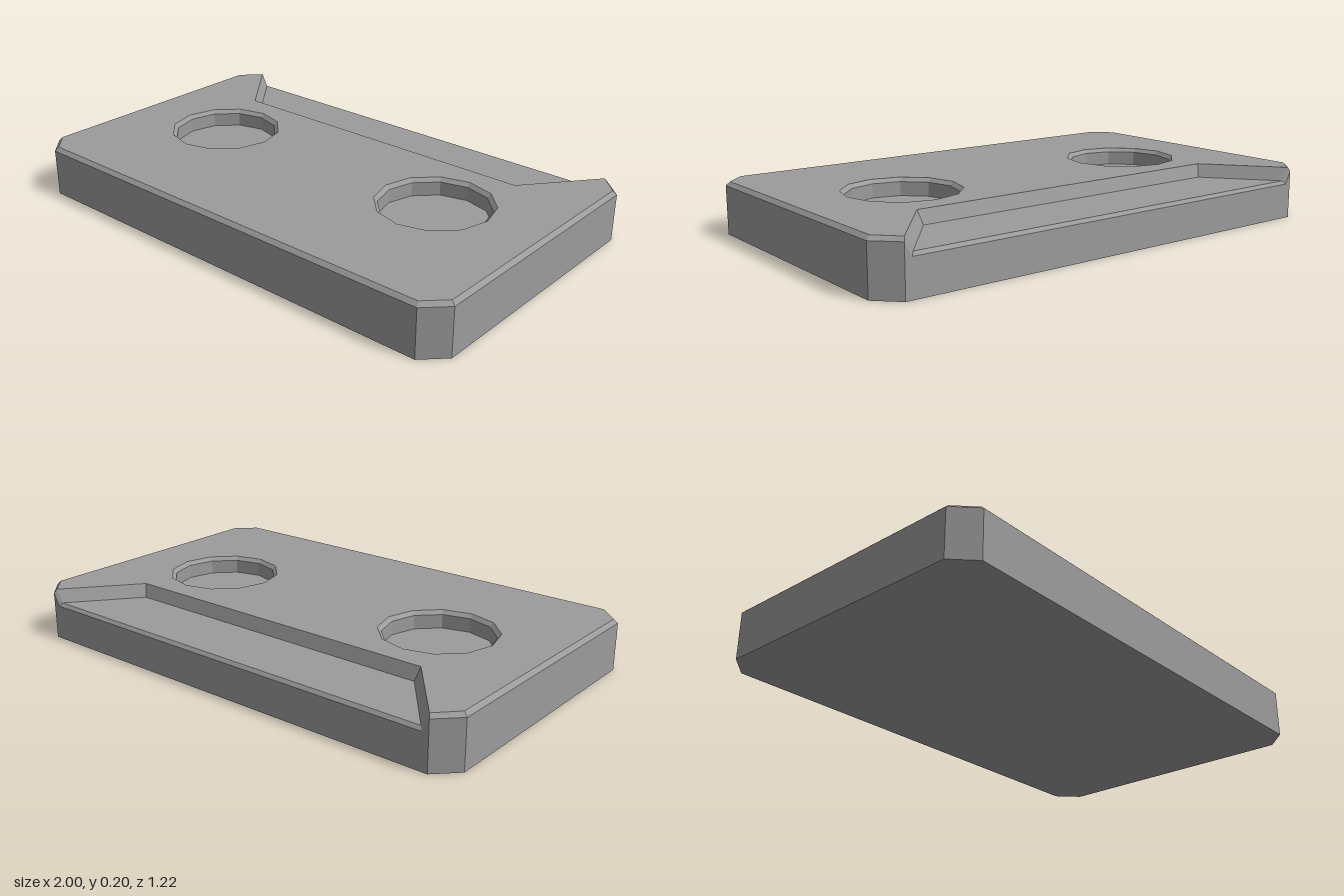
import * as THREE from 'three';

const TOP = 0.205, RIM = 0.19, LEDGE = 0.153, HOLE_FLOOR = 0.135;

// Half of a loop (right side, front to back), mirrored into a full anticlockwise loop.
function mirrorLoop(half) {
  const other = half.map(([x, y, z]) => [-x, y, z]).reverse();
  return [...half, ...other];
}

// Twelve-sided loop, running clockwise so that strips face inwards.
function holeLoop(cx, r, y) {
  return Array.from({ length: 12 }, (_, i) => {
    const a = (i * Math.PI) / 6;
    return [cx + r * Math.cos(a), y, r * Math.sin(a)];
  });
}

// Flat-faced bands joining each loop to the next.
function bands(loops) {
  const positions = [];
  const tri = (...pts) => {
    const [a, b, c] = pts.map((p) => new THREE.Vector3(...p));
    if (new THREE.Triangle(a, b, c).getArea() > 1e-7) positions.push(...pts.flat());
  };
  for (let k = 0; k + 1 < loops.length; k++) {
    const lo = loops[k], hi = loops[k + 1];
    lo.forEach((p, i) => {
      const j = (i + 1) % lo.length;
      tri(p, lo[j], hi[j]);
      tri(p, hi[j], hi[i]);
    });
  }
  const g = new THREE.BufferGeometry();
  g.setAttribute('position', new THREE.Float32BufferAttribute(positions, 3));
  g.computeVertexNormals();
  return g;
}

// Level face bounded by a loop, with optional holes.
function cap(loop, holes = [], down = false) {
  const to2D = ([x, , z]) => new THREE.Vector2(x, down ? z : -z);
  const shape = new THREE.Shape(loop.map(to2D));
  shape.holes = holes.map((h) => new THREE.Path(h.map(to2D)));
  const g = new THREE.ShapeGeometry(shape);
  g.rotateX(down ? Math.PI / 2 : -Math.PI / 2);
  return g.translate(0, loop[0][1], 0);
}

export function createModel() {
  const group = new THREE.Group();
  const material = new THREE.MeshStandardMaterial({ color: 0x9b9b9b, flatShading: true });
  const add = (name, geometry) => {
    const mesh = new THREE.Mesh(geometry, material);
    mesh.name = name;
    group.add(mesh);
  };

  // Plate outline with clipped corners; the last point of each half belongs to the rear recess.
  const edge = mirrorLoop([
    [0.917, RIM, 0.608], [1, RIM, 0.525], [1, RIM, -0.525],
    [0.917, RIM, -0.608], [0.89, LEDGE - 0.013, -0.608],
  ]);
  const base = edge.map(([x, , z]) => [x, 0, z]);
  const bevel = [[0.91, TOP, 0.593], [0.985, TOP, 0.518], [0.985, TOP, -0.518], [0.91, TOP, -0.598]];
  const ledgeBack = mirrorLoop([...bevel, [0.88, LEDGE, -0.597]]);
  const ledgeFront = mirrorLoop([...bevel, [0.672, LEDGE, -0.336]]);
  const top = mirrorLoop([...bevel, [0.685, TOP, -0.318]]);

  // Sides, bevelled rim, recess floor and recess walls
  add('plateSides', bands([base, edge, ledgeBack, ledgeFront, top]));

  // Top face with two round openings, and underside
  const centres = [-0.545, 0.545];
  add('topFace', cap(top, centres.map((x) => holeLoop(x, 0.227, TOP))));
  add('underside', cap(base, [], true));

  // Round sockets with a bevelled lip
  centres.forEach((x, i) => {
    const side = i ? 'left' : 'right';
    const floor = holeLoop(x, 0.212, HOLE_FLOOR);
    add(side + 'SocketWall', bands([floor, holeLoop(x, 0.212, RIM), holeLoop(x, 0.227, TOP)]));
    add(side + 'SocketFloor', cap(floor));
  });
  return group;
}
